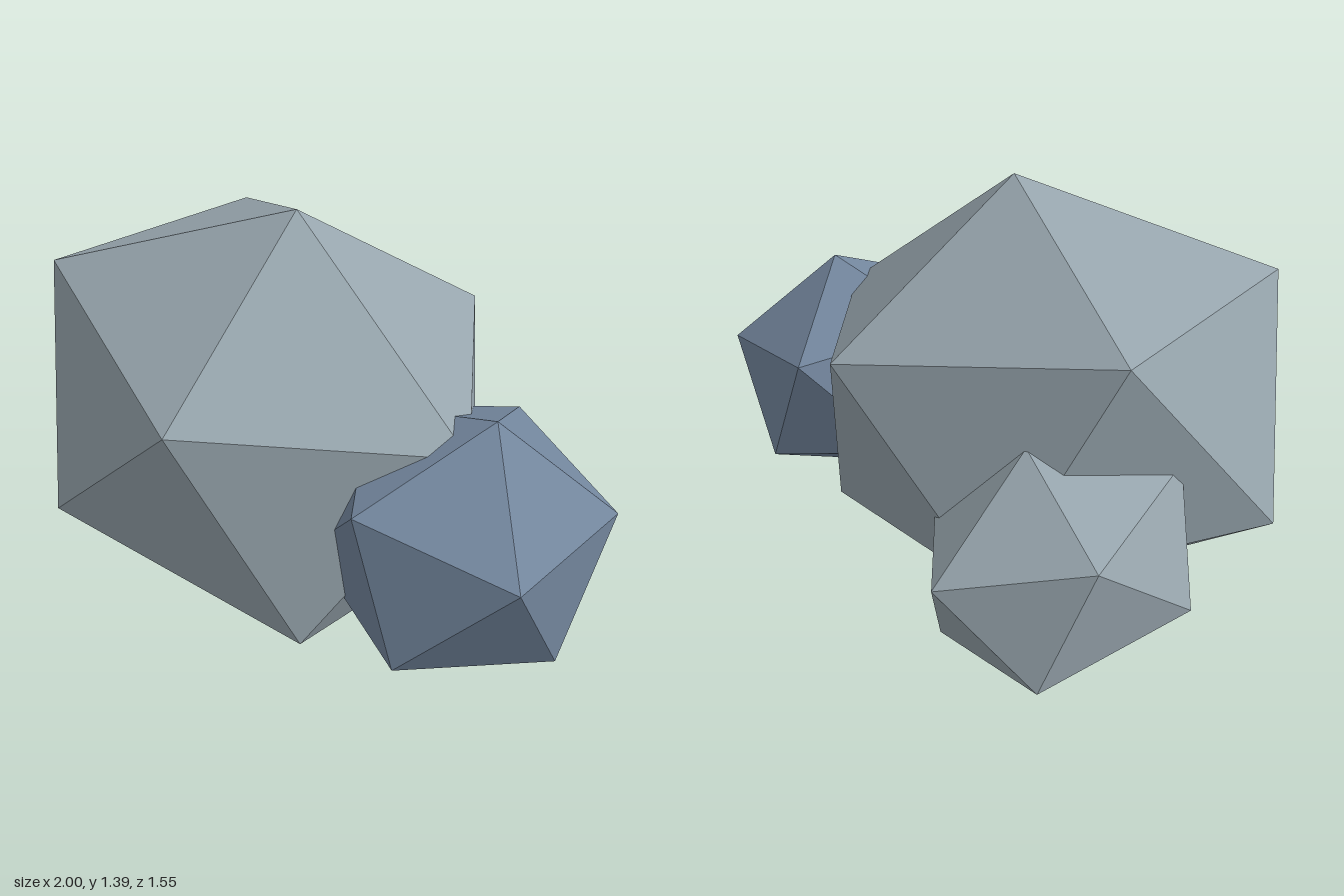
import * as THREE from 'three';

// Each rock is an icosahedron stretched and tilted by three axis vectors.
const PHI = (1 + Math.sqrt(5)) / 2;
const UNIT_RADIUS = Math.sqrt(1 + PHI * PHI);

function makeRock(name, material, centre, xAxis, yAxis, zAxis) {
  const geometry = new THREE.IcosahedronGeometry(UNIT_RADIUS, 0);
  const matrix = new THREE.Matrix4().makeBasis(
    new THREE.Vector3(...xAxis),
    new THREE.Vector3(...yAxis),
    new THREE.Vector3(...zAxis)
  );
  matrix.setPosition(...centre);
  geometry.applyMatrix4(matrix);
  geometry.computeVertexNormals();
  const rock = new THREE.Mesh(geometry, material);
  rock.name = name;
  return rock;
}

export function createModel() {
  const greyStone = new THREE.MeshStandardMaterial({ color: 0x97a5ad, flatShading: true });
  greyStone.name = 'greyStone';
  const blueStone = new THREE.MeshStandardMaterial({ color: 0x73869d, flatShading: true });
  blueStone.name = 'blueStone';

  const group = new THREE.Group();
  group.name = 'rockCluster';
  group.add(
    // Large boulder in the middle
    makeRock('mainBoulder', greyStone, [-0.17, 0.692, 0.122],
      [0.346, -0.272, 0], [0.3, 0.26, 0], [0, 0, 0.401]),
    // Blue rock leaning on the +x side
    makeRock('sideRock', blueStone, [0.598, 0.542, 0.068],
      [0.232, 0.065, -0.013], [-0.088, 0.207, -0.007], [0.023, 0.005, 0.255]),
    // Small rock behind the boulder
    makeRock('backRock', greyStone, [-0.573, 0.519, -0.347],
      [-0.1465, 0.0034, -0.1765], [-0.1545, -0.039, 0.156], [-0.045, 0.1845, 0.0625])
  );
  return group;
}
